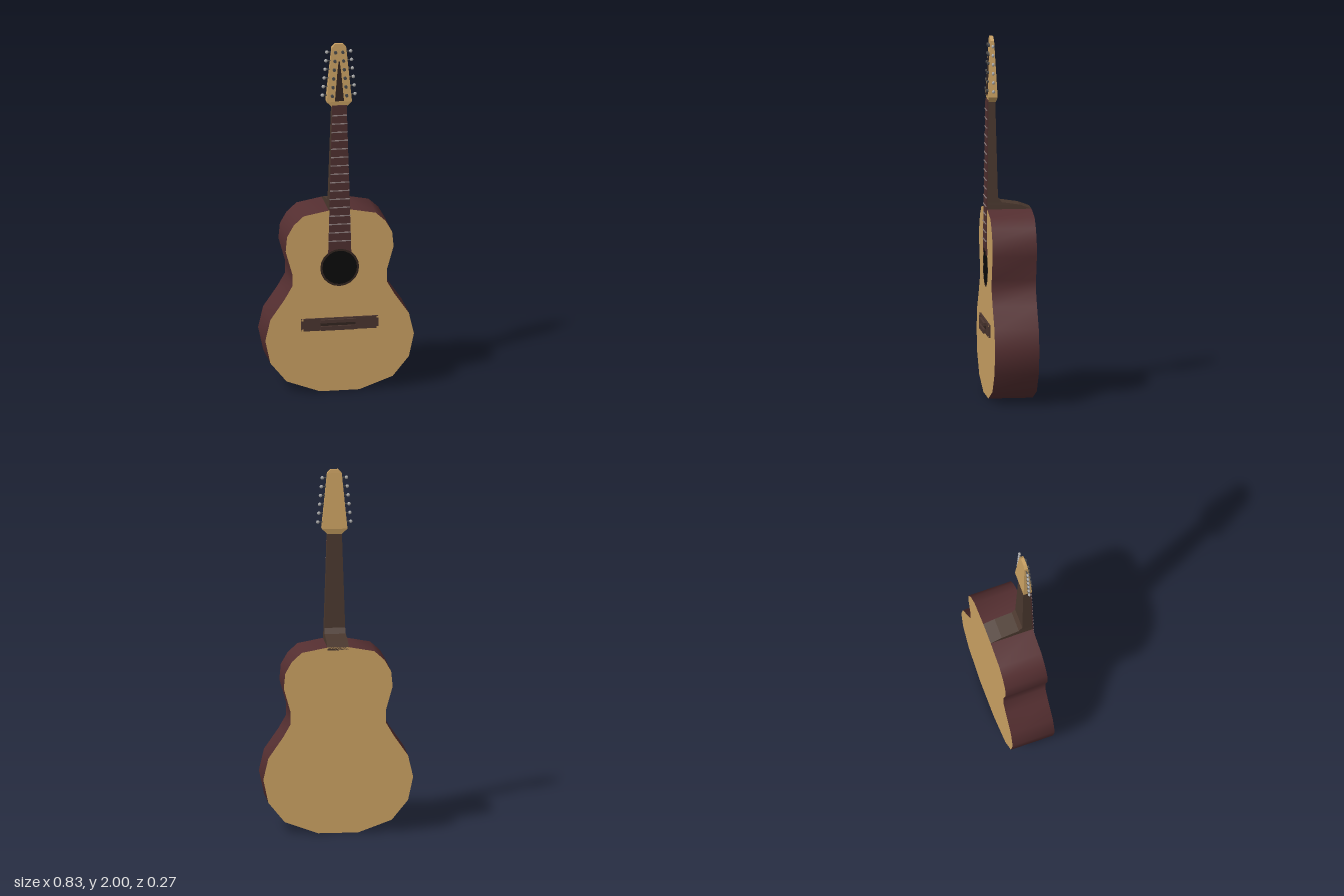
import * as THREE from 'three';
import { toCreasedNormals } from 'three/addons/utils/BufferGeometryUtils.js';

function material(name, color) {
  const m = new THREE.MeshStandardMaterial({ color });
  m.name = name;
  return m;
}

// Box-like solid through rectangular sections [y, halfWidth, zBack, zFront]
function loft(sections) {
  const pos = [], idx = [];
  sections.forEach(([y, w, b, f]) => pos.push(-w, y, f, w, y, f, w, y, b, -w, y, b));
  for (let s = 0; s < sections.length - 1; s++) {
    for (let k = 0; k < 4; k++) {
      const a = s * 4 + k, b = s * 4 + (k + 1) % 4;
      idx.push(a, b, b + 4, a, b + 4, a + 4);
    }
  }
  const t = (sections.length - 1) * 4;
  idx.push(0, 2, 1, 0, 3, 2, t, t + 1, t + 2, t, t + 2, t + 3);
  const g = new THREE.BufferGeometry();
  g.setAttribute('position', new THREE.Float32BufferAttribute(pos, 3));
  g.setIndex(idx);
  const flat = g.toNonIndexed();
  flat.computeVertexNormals();
  return flat;
}

export function createModel() {
  const spruce = material('pale wood', 0xc9a062);
  const rosewood = material('red brown wood', 0x552f31);
  const neckWood = material('neck brown', 0x4a382e);
  const boardWood = material('fretboard brown', 0x4e2f2f);
  const bridgeWood = material('bridge brown', 0x4a352f);
  const black = material('black', 0x0a0a0a);
  const dark = material('dark trim', 0x32241f);
  const silver = material('silver', 0xa8a8a8);
  const fretMetal = material('fret metal', 0x8c7c7c);
  const steel = material('dark steel', 0x4a4a4a);

  const guitar = new THREE.Group();
  guitar.name = 'guitar';
  const add = (name, geometry, mat, x = 0, y = 0, z = 0, parent = guitar) => {
    const mesh = new THREE.Mesh(geometry, mat);
    mesh.name = name;
    mesh.position.set(x, y, z);
    parent.add(mesh);
    return mesh;
  };

  // Body: mirrored outline, pale plates front and back, dark sides
  const half = [
    [0.11, 0.003], [0.295, 0.07], [0.385, 0.18], [0.413, 0.31], [0.385, 0.43],
    [0.305, 0.545], [0.262, 0.62], [0.262, 0.685], [0.3, 0.82], [0.292, 0.905],
    [0.255, 0.97], [0.2, 1.02], [0.06, 1.046],
  ];
  const outline = [...half, ...half.map(([x, y]) => [-x, y]).reverse()];
  const bodyShape = new THREE.Shape(outline.map(([x, y]) => new THREE.Vector2(x, y)));
  const bodyGeo = new THREE.ExtrudeGeometry(bodyShape, { depth: 0.245, bevelEnabled: false });
  add('body', toCreasedNormals(bodyGeo, 0.9), [spruce, rosewood], 0, 0, -0.135);

  // Sound hole with its rim
  const holeY = 0.715;
  add('soundHoleRim', new THREE.RingGeometry(0.096, 0.108, 20), dark, 0, holeY, 0.1125);
  add('soundHole', new THREE.CircleGeometry(0.098, 20), black, 0, holeY, 0.112);

  // Neck with the heel sweeping to the back of the body
  add('neck', loft([
    [1.03, 0.06, -0.135, 0.1], [1.046, 0.06, -0.135, 0.108], [1.07, 0.059, -0.07, 0.108],
    [1.085, 0.058, 0.03, 0.107], [1.115, 0.057, 0.05, 0.107], [1.65, 0.04, 0.063, 0.1],
  ]), neckWood);

  // Fretboard: tapered, its lower end curved around the sound hole
  const boardFront = (y) => 0.119 - (y - 0.78) * 0.0126;
  const boardWidth = (y) => 0.065 - (y - 0.78) * 0.0288;
  const board = new THREE.Shape();
  board.moveTo(0.04, 1.65);
  board.lineTo(-0.04, 1.65);
  board.lineTo(-0.064, 0.79);
  for (let i = 0; i <= 8; i++) {
    const x = -0.062 + i * 0.0155;
    board.lineTo(x, holeY + Math.sqrt(0.108 ** 2 - x * x));
  }
  board.lineTo(0.064, 0.79);
  const boardGeo = new THREE.ExtrudeGeometry(board, { depth: 0.012, bevelEnabled: false });
  const p = boardGeo.attributes.position;
  for (let i = 0; i < p.count; i++) p.setZ(i, p.getZ(i) - 0.012 + boardFront(p.getY(i)));
  boardGeo.computeVertexNormals();
  add('fretboard', boardGeo, boardWood);
  for (let i = 0; i < 16; i++) {
    const y = 1.593 - i * 0.0482;
    add('fret', new THREE.BoxGeometry(boardWidth(y) * 2, 0.006, 0.006), fretMetal, 0, y, boardFront(y));
  }

  // Bridge: base plate, two raised bars and small corner inlays
  add('bridgeBase', new THREE.BoxGeometry(0.43, 0.07, 0.012), bridgeWood, 0, 0.392, 0.115);
  add('bridgeTieBlock', new THREE.BoxGeometry(0.194, 0.024, 0.024), bridgeWood, -0.01, 0.372, 0.123);
  add('bridgeSaddle', new THREE.BoxGeometry(0.194, 0.018, 0.024), bridgeWood, -0.01, 0.412, 0.123);
  add('bridgeSlot', new THREE.BoxGeometry(0.194, 0.019, 0.003), dark, -0.01, 0.3935, 0.1215);
  for (const sx of [-1, 1]) {
    for (const y of [0.363, 0.421]) {
      add('bridgeInlay', new THREE.BoxGeometry(0.01, 0.01, 0.002), spruce, sx * 0.209, y, 0.121);
    }
  }

  // Headstock, thinner and narrower toward the top
  add('headstock', loft([
    [1.64, 0.04, 0.06, 0.1], [1.67, 0.07, 0.053, 0.103],
    [1.98, 0.04, 0.069, 0.09], [2.0, 0.022, 0.071, 0.089],
  ]), spruce);
  const headFront = (y) => 0.103 - (y - 1.67) * 0.042;
  add('headstockCover', loft([
    [1.675, 0.025, headFront(1.675) - 0.003, headFront(1.675) + 0.005],
    [1.84, 0.01, headFront(1.84) - 0.003, headFront(1.84) + 0.005],
    [1.9, 0.003, headFront(1.9) - 0.003, headFront(1.9) + 0.004],
  ]), dark);

  // Twelve tuners: post on the front, shaft and knob at the side
  for (let i = 0; i < 6; i++) {
    const y = 1.705 + i * 0.0496;
    const edge = 0.07 - (y - 1.67) * 0.097;
    for (const side of [-1, 1]) {
      const tuner = new THREE.Group();
      tuner.name = 'tuner';
      guitar.add(tuner);
      const post = add('tunerPost', new THREE.CylinderGeometry(0.009, 0.009, 0.016, 8), steel,
        side * (0.04 - i * 0.004), y, headFront(y) + 0.003, tuner);
      post.rotation.x = Math.PI / 2;
      const shaft = add('tunerShaft', new THREE.CylinderGeometry(0.004, 0.004, 0.03, 6), steel,
        side * (edge + 0.008), y, 0.079, tuner);
      shaft.rotation.z = Math.PI / 2;
      const knob = add('tunerKnob', new THREE.SphereGeometry(0.01, 10, 8), silver,
        side * (edge + 0.024), y, 0.079, tuner);
      knob.scale.set(1, 1, 0.8);
    }
  }
  return guitar;
}
